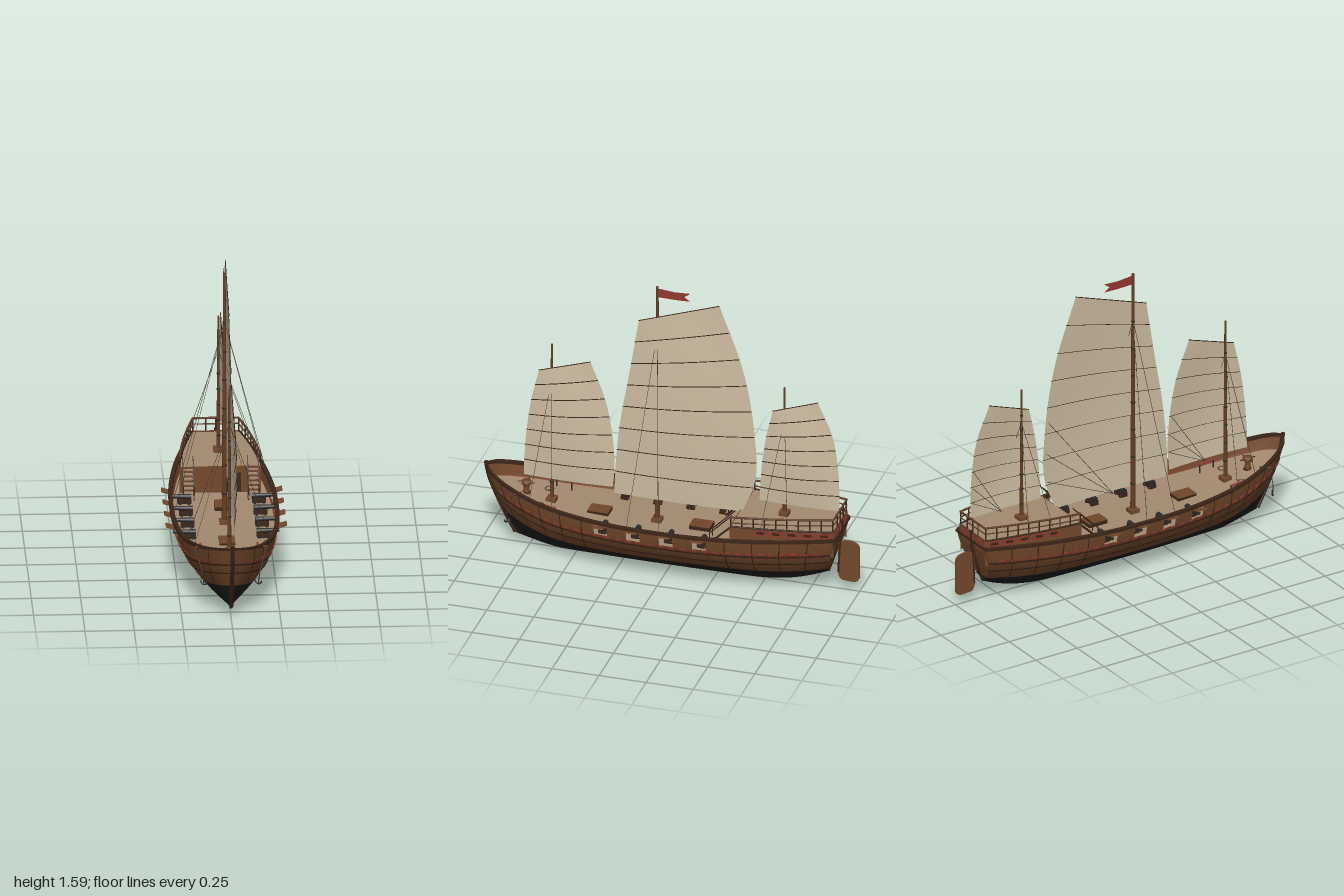
import * as THREE from 'three';

const mat = (name, color) => new THREE.MeshStandardMaterial({ name, color, side: THREE.DoubleSide });
const V = (x, y, z) => new THREE.Vector3(x, y, z);

// smooth curve through a few samples
function curve(xs, ys) {
  const c = new THREE.CubicInterpolant(xs, ys, 1, new Float32Array(1));
  return t => c.evaluate(t)[0];
}
const range = (a, b, n) => Array.from({ length: n + 1 }, (_, i) => a + (b - a) * i / n);
const lerp = THREE.MathUtils.lerp;

// surface through rows of points; skip leaves openings
function grid(rows, flip = false, skip = () => false) {
  const m = rows[0].length, pos = [], idx = [];
  rows.forEach(r => r.forEach(p => pos.push(p.x, p.y, p.z)));
  for (let i = 0; i < rows.length - 1; i++) for (let j = 0; j < m - 1; j++) {
    if (skip(i, j)) continue;
    const a = i * m + j, b = a + 1, c = a + m, d = c + 1;
    if (flip) idx.push(a, c, b, b, c, d); else idx.push(a, b, c, b, d, c);
  }
  const g = new THREE.BufferGeometry();
  g.setAttribute('position', new THREE.Float32BufferAttribute(pos, 3));
  g.setIndex(idx);
  g.computeVertexNormals();
  return g;
}

// hull lines
const BOW = 0.985, STERN = -0.9;
const beam = curve([-0.9, -0.8, -0.6, -0.4, -0.2, 0, 0.2, 0.4, 0.6, 0.7, 0.8, 0.9, 0.95, BOW],
  [0.138, 0.168, 0.215, 0.246, 0.265, 0.27, 0.267, 0.25, 0.215, 0.187, 0.15, 0.096, 0.056, 0.004]);
const sheer = curve([-0.9, -0.6, -0.35, 0, 0.3, 0.6, 0.8, 0.9, 1], [0.345, 0.33, 0.32, 0.315, 0.32, 0.34, 0.375, 0.4, 0.43]);
const keel = z => 0.004 + 0.055 * Math.max(0, (z - 0.6) / 0.4) ** 2 + 0.09 * Math.max(0, (-z - 0.3) / 0.6) ** 3;
const water = z => 0.116 + 0.09 * Math.max(0, (z - 0.4) / 0.6) ** 2 + 0.02 * Math.max(0, (-z - 0.4) / 0.5) ** 2;
function hullPoint(side, z, y, off = 0) {
  const s = THREE.MathUtils.clamp((y - keel(z)) / (sheer(z) - keel(z)), 0, 1);
  const rake = 0.16 * THREE.MathUtils.smoothstep(z, 0.4, BOW) - 0.07 * THREE.MathUtils.smoothstep(-z, 0.4, 0.9);
  const x = beam(z) * Math.sin(Math.PI / 2 * s ** 0.8) + off;
  return V(side * Math.max(0, x), y, z - rake * (1 - s) ** 1.3);
}

export function createModel() {
  const root = new THREE.Group();
  root.name = 'junkShip';
  const hullWood = mat('hullWood', 0x73482b), darkWood = mat('darkWood', 0x3b2518), tar = mat('tar', 0x1f1f20),
    deckWood = mat('deckWood', 0xa38a70), canvas = mat('canvas', 0xcdbda2), mastWood = mat('mastWood', 0x643e27),
    iron = mat('iron', 0x2b2b2d), red = mat('red', 0x94382f), rope = mat('rope', 0x4c4237);

  const add = (name, g, m, x = 0, y = 0, z = 0) => {
    const o = new THREE.Mesh(g, m);
    o.name = name;
    o.position.set(x, y, z);
    root.add(o);
    return o;
  };
  const box = (name, w, h, d, m, x, y, z) => add(name, new THREE.BoxGeometry(w, h, d), m, x, y, z);
  const rod = (name, a, b, r, m, r2 = r, n = 6) => {
    const o = add(name, new THREE.CylinderGeometry(r2, r, a.distanceTo(b), n), m);
    o.position.copy(a).add(b).multiplyScalar(0.5);
    o.quaternion.setFromUnitVectors(V(0, 1, 0), b.clone().sub(a).normalize());
    return o;
  };
  const tube = (name, pts, r, m, n = 30) => add(name, new THREE.TubeGeometry(new THREE.CatmullRomCurve3(pts), n, r, 5), m);

  // stations, aligned with the gun port edges
  const ports = [0.3, 0.125, -0.05, -0.225], PW = 0.036;
  const zs = range(STERN, BOW, 60).filter(z => !ports.some(p => Math.abs(z - p) < PW + 0.006))
    .concat(ports.flatMap(p => [p - PW, p + PW])).sort((a, b) => a - b);

  // wale: closed strip that follows the hull
  const wale = (name, side, low, high, inn, out, m, list = zs) => {
    const rows = list.map(z => [[low, inn], [low, out], [high, out], [high, inn], [low, inn]]
      .map(([h, o]) => { const p = hullPoint(side, z, sheer(z) + h, o); p.y = sheer(z) + h; return p; }));
    add(name, grid(rows, side < 0).toNonIndexed(), m).geometry.computeVertexNormals();
  };

  for (const side of [1, -1]) {
    // tarred bottom and planked topsides
    add('hullBottom', grid(zs.map(z => range(0, 1, 10).map(t => hullPoint(side, z, lerp(keel(z), water(z), t)))), side < 0), tar);
    const inPort = (i, j) => j === 4 && ports.some(p => Math.abs((zs[i] + zs[i + 1]) / 2 - p) < PW);
    add('topsides', grid(zs.map(z => {
      const w = water(z), p = sheer(z) - 0.068;
      return [w, lerp(w, p, 0.33), lerp(w, p, 0.66), lerp(w, p, 0.9), p, sheer(z) - 0.016, sheer(z)].map(y => hullPoint(side, z, y));
    }), side < 0, inPort), hullWood);
    wale('capRail', side, -0.006, 0.008, -0.014, 0.008, darkWood);
    wale('upperWale', side, -0.097, -0.088, -0.004, 0.006, darkWood);
    wale('lowerWale', side, -0.148, -0.141, -0.004, 0.005, darkWood);
    // painted dashes under the gun ports
    for (const z of range(-0.84, 0.88, 30)) wale('redDash', side, -0.084, -0.071, -0.002, 0.007, red, [z, z + 0.015, z + 0.03]);
    // ribs
    for (const z of [-0.78, -0.64, -0.5, -0.36, 0.4, 0.52, 0.64, 0.76, 0.87])
      add('rib', grid([z, z + 0.006].map(k => range(0, 1, 6).map(t => hullPoint(side, k, lerp(water(k), sheer(k), t), 0.005))), side < 0), darkWood);

    // guns with carriages and raised port lids
    for (const z of ports) {
      rod('gunBarrel', V(side * 0.155, 0.277, z), V(side * 0.27, 0.281, z), 0.014, iron, 0.009, 10);
      box('gunCarriage', 0.07, 0.025, 0.034, darkWood, side * 0.19, 0.256, z);
      for (const dx of [-0.022, 0.022]) rod('carriageWheel', V(side * (0.19 + dx), 0.248, z - 0.022), V(side * (0.19 + dx), 0.248, z + 0.022), 0.009, iron, 0.009, 8);
      box('portLid', 0.042, 0.006, 0.06, hullWood, side * 0.287, 0.31, z).rotation.z = side * 0.3;
    }

    // stairs to the poop
    for (let i = 0; i < 7; i++) box('stairTread', 0.05, 0.006, 0.022, deckWood, side * 0.165, 0.262 + i * 0.018, -0.255 - i * 0.019);
    for (const dx of [-0.027, 0.027]) {
      rod('stairString', V(side * 0.165 + dx, 0.25, -0.245), V(side * 0.165 + dx, 0.38, -0.38), 0.005, darkWood);
      rod('stairRail', V(side * 0.165 + dx, 0.32, -0.26), V(side * 0.165 + dx, 0.44, -0.38), 0.003, darkWood);
      rod('stairPost', V(side * 0.165 + dx, 0.25, -0.26), V(side * 0.165 + dx, 0.32, -0.26), 0.003, darkWood);
    }

    // foredeck fittings, cat head and anchor
    rod('pinRail', V(side * 0.145, 0.31, 0.57), V(side * 0.145, 0.32, 0.66), 0.006, red);
    for (const z of [0.575, 0.655]) rod('pinPost', V(side * 0.145, 0.26, z), V(side * 0.145, 0.315, z), 0.004, darkWood);
    const coil = add('ropeCoil', new THREE.TorusGeometry(0.022, 0.003, 5, 14), rope, side * 0.09, 0.285, 0.675);
    coil.rotation.x = Math.PI / 2;
    rod('catHead', V(side * 0.13, 0.36, 0.76), V(side * 0.185, 0.37, 0.79), 0.007, mastWood);
    rod('anchorRope', V(side * 0.145, 0.24, 0.83), V(side * 0.178, 0.365, 0.79), 0.002, rope, 0.002, 4);
    rod('anchorShank', V(side * 0.138, 0.185, 0.83), V(side * 0.145, 0.24, 0.83), 0.003, iron);
    const fluke = add('anchorArms', new THREE.TorusGeometry(0.018, 0.004, 5, 10, Math.PI), iron, side * 0.138, 0.203, 0.83);
    fluke.rotation.set(Math.PI, Math.PI / 6, 0);
  }

  // main deck
  const deckY = z => sheer(z) - 0.076;
  add('mainDeck', grid(zs.map(z => [1, 0.5, 0, -0.5, -1].map(k => {
    const p = hullPoint(1, z, deckY(z), -0.002);
    p.x *= k;
    return p;
  })), true), deckWood);

  // transom, stem and stern posts
  const transom = (name, y0, y1, m) => add(name, grid(range(y0, y1, 6).map(y => [-1, 0, 1].map(k => {
    const p = hullPoint(1, STERN, y);
    p.x *= k;
    return p;
  })), true), m);
  transom('transomBottom', keel(STERN), water(STERN), tar);
  transom('transom', water(STERN), sheer(STERN), hullWood);
  tube('stem', [0.44, 0.36, 0.28, 0.2, 0.12, 0.06].map(y => hullPoint(0, BOW, y)), 0.011, darkWood);
  tube('sternPost', [0.33, 0.25, 0.17, 0.1].map(y => hullPoint(0, STERN, y)), 0.01, darkWood);

  // rudder
  const rs = new THREE.Shape();
  rs.moveTo(0.888, 0.27);
  rs.quadraticCurveTo(0.93, 0.295, 0.975, 0.28);
  rs.quadraticCurveTo(1, 0.27, 1, 0.24);
  rs.lineTo(1, 0.085);
  rs.quadraticCurveTo(0.995, 0.055, 0.965, 0.055);
  rs.lineTo(0.91, 0.058);
  rs.quadraticCurveTo(0.89, 0.065, 0.885, 0.1);
  const rudder = add('rudder', new THREE.ExtrudeGeometry(rs, { depth: 0.012, bevelEnabled: false }), hullWood, -0.006);
  rudder.rotation.y = Math.PI / 2;
  rod('rudderStock', V(0, 0.1, -0.888), V(0, 0.4, -0.905), 0.008, darkWood);

  // poop cabin
  const F = -0.375, POOP = 0.384, cabin = z => beam(z) * 0.83;
  const pz = range(STERN + 0.005, F, 14);
  add('poopDeck', grid(pz.map(z => [V(cabin(z) + 0.006, POOP, z), V(-cabin(z) - 0.006, POOP, z)]), true), deckWood);
  box('cabinFront', 2 * cabin(F), POOP - 0.24, 0.008, hullWood, 0, (POOP + 0.24) / 2, F);
  box('cabinBack', 2 * cabin(STERN), 0.06, 0.008, hullWood, 0, POOP - 0.032, STERN + 0.004);
  box('cabinDoor', 0.07, 0.1, 0.006, darkWood, 0.07, 0.3, F + 0.005);
  for (const x of [-0.07, 0, 0.07]) box('sternWindow', 0.04, 0.028, 0.006, red, x, 0.364, STERN - 0.002);
  box('sternBeam', 0.28, 0.012, 0.014, darkWood, 0, 0.343, STERN);
  const top = z => lerp(0.457, 0.438, (z - STERN) / (F - STERN));
  for (const side of [1, -1]) {
    add('cabinSide', grid(pz.map(z => [V(side * cabin(z), 0.24, z), V(side * cabin(z), POOP, z)]), side < 0), hullWood);
    tube('cabinTrim', pz.map(z => V(side * (cabin(z) + 0.003), POOP + 0.003, z)), 0.005, darkWood);
    tube('topRail', pz.map(z => V(side * cabin(z), top(z), z)), 0.006, mastWood);
    tube('midRail', pz.map(z => V(side * cabin(z), top(z) - 0.032, z)), 0.0035, mastWood);
    for (const z of range(STERN + 0.008, F - 0.004, 9)) rod('railPost', V(side * cabin(z), POOP, z), V(side * cabin(z), top(z), z), 0.004, darkWood);
    // cabin windows: red frame with a dark pane
    const pane = (name, z, w, y0, y1, off, m) => add(name, grid([z - w, z + w].map(k => [y0, y1].map(y => V(side * (cabin(k) + off), y, k))), side < 0), m);
    for (const z of range(-0.85, -0.53, 4)) {
      pane('windowFrame', z, 0.031, 0.346, 0.378, 0.005, red);
      pane('windowPane', z, 0.02, 0.356, 0.371, 0.0065, darkWood);
    }
  }
  const sw = cabin(STERN);
  for (const [h, r] of [[0.457, 0.006], [0.425, 0.0035], [POOP, 0.006]]) rod('sternRail', V(-sw, h, STERN + 0.004), V(sw, h, STERN + 0.004), r, mastWood);
  for (const x of [-0.05, 0, 0.05]) rod('sternRailPost', V(x, POOP, STERN + 0.004), V(x, 0.457, STERN + 0.004), 0.004, darkWood);

  // grated hatches and capstan
  for (const z of [0.38, -0.16]) {
    box('hatchCoaming', 0.08, 0.02, 0.11, darkWood, 0, 0.25, z);
    for (const x of range(-0.035, 0.035, 4)) box('hatchBar', 0.01, 0.004, 0.11, hullWood, x, 0.262, z);
    for (const dz of range(-0.05, 0.05, 6)) box('hatchBar', 0.08, 0.004, 0.01, hullWood, 0, 0.2622, z + dz);
  }
  const cap = [[0, 0], [0.024, 0], [0.016, 0.015], [0.014, 0.045], [0.026, 0.052], [0.026, 0.068], [0, 0.07]];
  add('capstan', new THREE.LatheGeometry(cap.map(p => new THREE.Vector2(...p)), 14), hullWood, 0, deckY(0.77), 0.77);
  for (const a of [0, 0.5]) {
    const d = V(Math.cos(a * Math.PI) * 0.045, 0, Math.sin(a * Math.PI) * 0.045), c = V(0, deckY(0.77) + 0.06, 0.77);
    rod('capstanBar', c.clone().sub(d), c.clone().add(d), 0.003, darkWood);
  }

  // masts, battened sails and rigging
  const ts = [0, 0.15, 0.4, 0.7, 1];
  const rigs = [
    { name: 'main', z: 0.075, top: 1.59, foot: deckY(0.075), r: 0.014, y: [0.375, 1.39, 1.54], n: 8, apex: 1.33, spread: 0.085,
      fore: [0.297, 0.292, 0.268, 0.217, 0.168], aft: [-0.38, -0.448, -0.445, -0.385, -0.26] },
    { name: 'fore', z: 0.635, top: 1.17, foot: deckY(0.635), r: 0.011, y: [0.407, 1.02, 1.11], n: 7, apex: 0.98, spread: 0.065,
      fore: [0.778, 0.776, 0.765, 0.74, 0.698], aft: [0.307, 0.297, 0.306, 0.345, 0.425] },
    { name: 'mizzen', z: -0.6, top: 1.115, foot: POOP, r: 0.01, y: [0.457, 0.98, 1.065], n: 7, apex: 0.93, spread: 0.075,
      fore: [-0.473, -0.477, -0.486, -0.508, -0.543], aft: [-0.896, -0.897, -0.89, -0.86, -0.783] },
  ];
  for (const k of rigs) {
    rod(k.name + 'Mast', V(0, k.foot, k.z), V(0, k.top, k.z), k.r, mastWood, k.r * 0.5, 10);
    box(k.name + 'MastStep', 0.05, 0.022, 0.05, hullWood, 0, k.foot + 0.01, k.z);
    for (const t of range(0.12, 0.8, 6)) {
      const r = k.r * (1 - t / 2) + 0.001;
      add('mastBand', new THREE.CylinderGeometry(r, r, 0.008, 10), iron, 0, lerp(k.foot, k.top, t), k.z);
    }
    const fore = curve(ts, k.fore), aft = curve(ts, k.aft);
    const at = (t, u, dx = 0) => V(0.018 + dx + 0.022 * Math.sin(Math.PI * u) * Math.sin(Math.PI * Math.min(1, 0.15 + t * 0.85)),
      lerp(k.y[0], lerp(k.y[1], k.y[2], u), t), lerp(fore(t), aft(t), u));
    add(k.name + 'Sail', grid(range(0, 1, 24).map(t => range(0, 1, 10).map(u => at(t, u)))), canvas);
    for (let i = 1; i <= k.n; i++) tube(i === k.n ? 'yard' : 'batten', range(0, 1, 10).map(u => at(i / k.n, u, 0.0015)), 0.0024, darkWood, 20);
    // sheets gather from the aft edge to the foot of the sail
    for (const t of [0.14, 0.28, 0.43]) rod('sheet', at(t, 0.98, -0.004), V(0, k.y[0], k.z - 0.12), 0.0015, rope, 0.0015, 4);
    for (const side of [1, -1]) for (const dz of [-k.spread, k.spread]) {
      const z = k.z + dz;
      rod('shroud', V(0, k.apex, k.z), V(side * (beam(z) - 0.008), sheer(z), z), 0.0015, rope, 0.0015, 4);
    }
  }

  // swallowtail pennant
  const flag = new THREE.Shape([[0, 1.58], [0.09, 1.572], [0.172, 1.576], [0.14, 1.552], [0.172, 1.53], [0.09, 1.528], [0, 1.53]].map(p => new THREE.Vector2(...p)));
  add('pennant', new THREE.ShapeGeometry(flag), red, 0, 0, 0.072).rotation.y = Math.PI / 2;

  return root;
}
